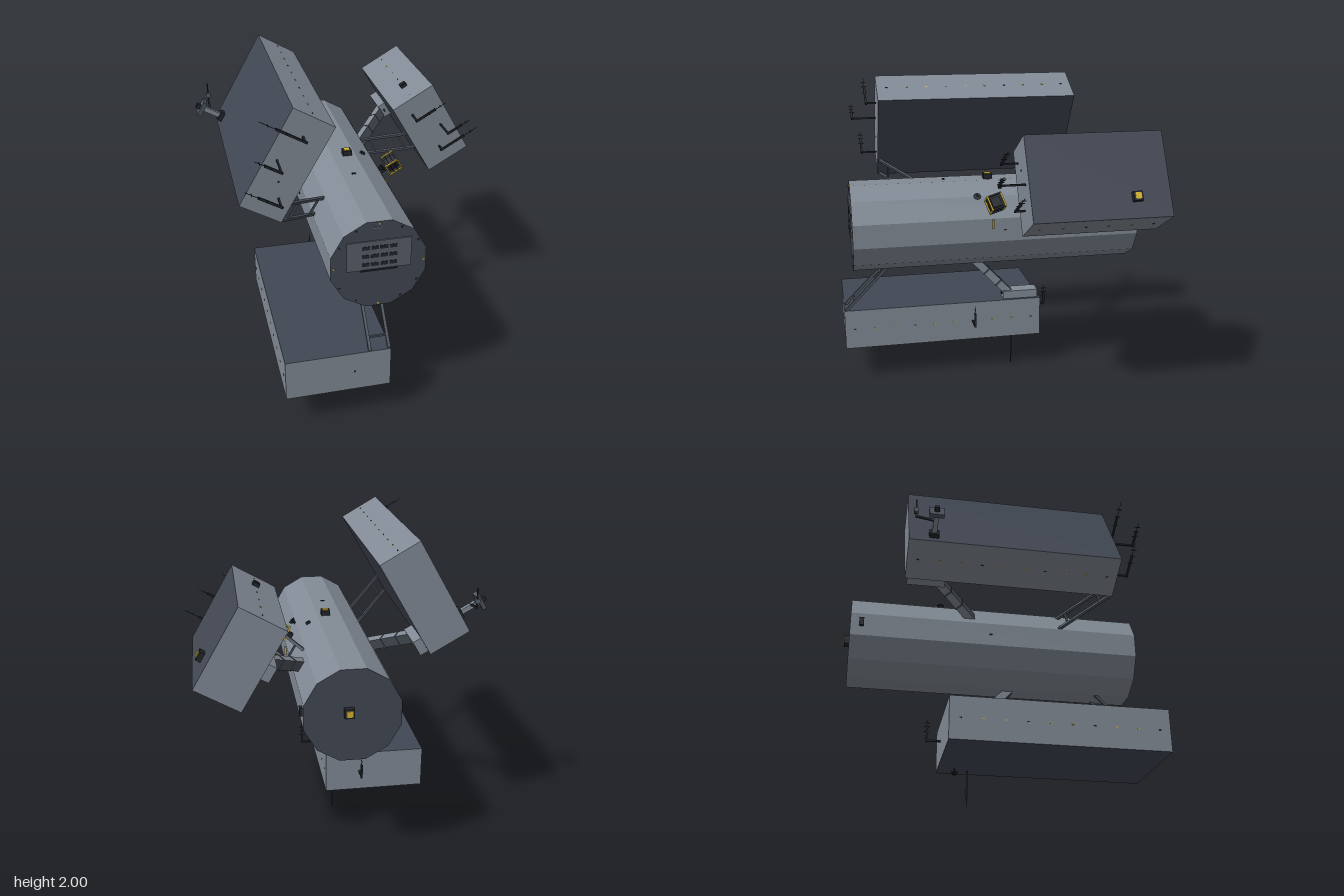
import * as THREE from 'three';

const CX = -0.025, CY = 1.075; // hull axis

const mat = (name, color) => {
  const m = new THREE.MeshStandardMaterial({ color, flatShading: true });
  m.name = name;
  return m;
};
const M = {
  light: mat('lightGrey', 0x828b96),
  dark: mat('darkSlate', 0x424854),
  mid: mat('strutGrey', 0x4d545e),
  black: mat('charcoal', 0x22262c),
  yellow: mat('yellow', 0xd6b432),
  panel: mat('panelGrey', 0x59606b),
};
const V = (x, y, z) => new THREE.Vector3(x, y, z);

function add(parent, name, geo, material, x = 0, y = 0, z = 0) {
  const m = new THREE.Mesh(geo, material);
  m.name = name;
  m.position.set(x, y, z);
  parent.add(m);
  return m;
}

const box = (parent, name, size, pos, material) =>
  add(parent, name, new THREE.BoxGeometry(...size), material, ...pos);

// Square bar running from a to b
function beam(parent, name, a, b, w, d, material) {
  const dir = b.clone().sub(a);
  const m = add(parent, name, new THREE.BoxGeometry(w, dir.length(), d), material);
  m.position.copy(a).lerp(b, 0.5);
  m.quaternion.setFromUnitVectors(V(0, 1, 0), dir.normalize());
  return m;
}

// Lattice mast on a boom: foot on the surface, elbow, then mast along dir
function antenna(parent, foot, elbow, dir, length) {
  const g = new THREE.Group();
  g.name = 'antenna';
  parent.add(g);
  const at = t => elbow.clone().addScaledVector(dir, t * length);
  const boom = elbow.clone().sub(foot).normalize();
  beam(g, 'boom', foot, elbow, 0.011, 0.011, M.black);
  beam(g, 'mast', at(-0.05), at(0.7), 0.013, 0.013, M.black);
  beam(g, 'whip', at(0.7), at(1.1), 0.003, 0.003, M.black);
  for (const t of [0.45, 0.7, 0.9])
    beam(g, 'crossElement', at(t).addScaledVector(boom, -0.018), at(t).addScaledVector(boom, 0.018), 0.004, 0.004, M.black);
}

// Framed hatch, built facing +y
function hatch(parent, pos, normal) {
  const g = new THREE.Group();
  g.name = 'hatch';
  g.position.copy(pos);
  g.quaternion.setFromUnitVectors(V(0, 1, 0), normal);
  parent.add(g);
  box(g, 'hatchBody', [0.058, 0.034, 0.058], [0, 0.01, 0], M.black);
  box(g, 'hatchPlate', [0.038, 0.006, 0.038], [0, 0.029, 0], M.yellow);
  return g;
}

// Cargo pod with its arm and struts; outward is -y, then turned about the hull axis
function pod(root, name, angle, [x0, x1], [r0, r1], [zb, zf]) {
  const g = new THREE.Group();
  g.name = name;
  g.position.set(CX, CY, 0);
  g.rotation.z = angle;
  root.add(g);
  const w = x1 - x0, h = r1 - r0, l = zf - zb, mx = (x0 + x1) / 2, mz = (zb + zf) / 2;
  add(g, 'podBody', new THREE.BoxGeometry(w, h, l),
    [M.light, M.light, M.dark, M.dark, M.light, M.light], mx, -(r0 + r1) / 2, mz);

  // Slanted main arm with dark front and back faces
  const root0 = V(0, -0.24, zb + 0.49), tip = V(0, -0.55, zb + 0.195);
  const arm = beam(g, 'mainArm', root0, tip, 0.07, 0.052, M.light);
  arm.material = [M.light, M.light, M.light, M.light, M.mid, M.mid];
  for (const t of [0.4, 0.68]) {
    const c = root0.clone().lerp(tip, t), e = root0.clone().lerp(tip, t + 0.025);
    beam(g, 'armBand', c, e, 0.076, 0.058, M.mid);
  }
  box(g, 'armFoot', [0.1, 0.06, 0.24], [0, -r0 + 0.025, zb + 0.135], M.light);
  box(g, 'footHatch', [0.024, 0.014, 0.004], [0, -r0 + 0.028, zb + 0.257], M.black);

  // Twin front struts with rungs
  const a = V(0, -0.25, zf - 0.325), b = V(0, -r0, zf - 0.012);
  for (const s of [-0.06, 0.06]) {
    const o = V(s, 0, 0);
    beam(g, 'strut', a.clone().add(o), b.clone().add(o), 0.018, 0.018, M.mid);
  }
  for (const t of [0.25, 0.82]) {
    const c = a.clone().lerp(b, t);
    box(g, 'rung', [0.13, 0.012, 0.012], [c.x, c.y, c.z], M.mid);
  }

  // Running lights along both narrow sides
  const n = Math.round(l / 0.134);
  for (let i = 0; i < n; i++)
    for (const x of [x0, x1])
      box(g, 'sideLight', [0.006, 0.006, 0.014], [x, -(r0 + r1) / 2, zb + (i + 0.5) * l / n], i % 3 ? M.yellow : M.black);
  box(g, 'frontPort', [0.01, 0.01, 0.005], [mx + 0.1, -(r0 + r1) / 2, zf], M.black);
  return g;
}

// Yellow-edged equipment cage on a stem, outward is +y
function cage(root) {
  const g = new THREE.Group();
  g.name = 'equipmentCage';
  g.position.set(CX + 0.247, CY + 0.143, 0.015);
  g.rotation.z = -Math.PI / 3;
  root.add(g);
  beam(g, 'cageStem', V(0, -0.02, 0), V(0, 0.05, 0), 0.035, 0.035, M.black);
  const c = new THREE.Group();
  c.name = 'cageFrame';
  c.position.y = 0.092;
  c.rotation.y = 0.3;
  g.add(c);
  box(c, 'cageCore', [0.06, 0.07, 0.06], [0, 0, 0], M.black);
  const s = 0.045;
  for (const p of [-s, s])
    for (const q of [-s, s]) {
      box(c, 'cageEdge', [0.1, 0.01, 0.01], [0, p, q], M.yellow);
      box(c, 'cageEdge', [0.01, 0.1, 0.01], [p, 0, q], M.yellow);
      box(c, 'cageEdge', [0.01, 0.01, 0.1], [p, q, 0], M.black);
    }
  for (const y of [-0.015, 0.015])
    box(c, 'cageBand', [0.094, 0.006, 0.094], [0, y, 0], M.black);
}

export function createModel() {
  const root = new THREE.Group();
  root.name = 'spaceStation';

  // Twelve-sided hull with dark ends
  const hull = add(root, 'hull', new THREE.CylinderGeometry(0.295, 0.295, 1.875, 12, 1, false, Math.PI / 12),
    [M.light, M.dark, M.dark], CX, CY, -0.0225);
  hull.rotation.x = Math.PI / 2;

  // Front window panel with a grid of slots
  box(root, 'frontPanel', [0.385, 0.19, 0.008], [CX, 1.143, 0.918], M.panel);
  box(root, 'panelSill', [0.22, 0.01, 0.016], [CX, 1.046, 0.92], M.black);
  for (let i = 0; i < 4; i++)
    for (let j = 0; j < 3; j++)
      box(root, 'windowSlot', [0.045, 0.022, 0.004], [CX - 0.08 + i * 0.055, 1.085 + j * 0.055, 0.923], M.black);
  box(root, 'topSlot', [0.05, 0.01, 0.004], [CX - 0.01, 1.32, 0.916], M.panel);
  for (let i = 0; i < 12; i++) {
    const a = i * Math.PI / 6;
    box(root, 'rimLight', [0.01, 0.01, 0.005], [CX + 0.27 * Math.cos(a), CY + 0.27 * Math.sin(a), 0.916], i % 3 ? M.black : M.yellow);
  }

  // Three pods around the hull
  const third = Math.PI * 2 / 3;
  pod(root, 'lowerPod', 0, [-0.58, 0.07], [0.57, 0.84], [-0.355, 0.985]);
  pod(root, 'upperRightPod', -third, [-0.58, 0.07], [0.565, 0.838], [-0.645, 0.695]);
  pod(root, 'upperLeftPod', third, [-0.27, 0.27], [0.573, 0.879], [-0.945, -0.09]);

  // Antennas on the pod front faces: x, y, elbow z, length
  const c30 = Math.cos(Math.PI / 6);
  for (const [x, y, z, len] of [[0.47, 1.55, 0.015, 0.2], [0.67, 1.465, 0.07, 0.15], [0.67, 1.305, -0.03, 0.25]])
    antenna(root, V(x, y, -0.09), V(x, y, z), V(c30, 0.5, 0), len);
  for (const [x, y, z, len] of [[-0.41, 1.82, 0.765, 0.26], [-0.56, 1.695, 0.858, 0.15], [-0.56, 1.455, 0.8, 0.21]])
    antenna(root, V(x, y, 0.695), V(x, y, z), V(-c30, 0.5, 0), len);

  // Lower pod antennas, whip and small dish
  antenna(root, V(0.045, 0.37, 0.12), V(0.15, 0.37, 0.12), V(0, 1, 0), 0.13);
  antenna(root, V(-0.18, 0.37, -0.355), V(-0.18, 0.37, -0.44), V(0, 1, 0), 0.13);
  beam(root, 'keelMast', V(CX, 0.235, -0.165), V(CX, 0.06, -0.165), 0.009, 0.009, M.black);
  beam(root, 'keelWhip', V(CX, 0.06, -0.165), V(CX, 0, -0.165), 0.004, 0.004, M.black);
  beam(root, 'dishStem', V(-0.06, 0.24, -0.25), V(-0.06, 0.2, -0.25), 0.01, 0.01, M.black);
  add(root, 'keelDish', new THREE.CylinderGeometry(0.024, 0.012, 0.016, 8), M.black, -0.06, 0.205, -0.25);

  // Sensor arm on the outer face of the upper right pod
  const sensor = new THREE.Group();
  sensor.name = 'sensorArm';
  sensor.position.set(CX - 0.838 * c30, CY + 0.419, -0.49);
  sensor.rotation.z = Math.PI / 3;
  root.add(sensor);
  box(sensor, 'sensorBase', [0.06, 0.03, 0.06], [0, 0.012, 0], M.black);
  beam(sensor, 'sensorBoom', V(0, 0, 0), V(0, 0.16, 0), 0.03, 0.03, M.light);
  box(sensor, 'sensorPlate', [0.095, 0.025, 0.09], [0, 0.155, 0], M.mid);
  box(sensor, 'sensorHead', [0.03, 0.03, 0.03], [0, 0.18, 0], M.black);
  beam(root, 'sensorBracket', V(-0.83, 1.55, -0.49), V(-0.83, 1.57, -0.61), 0.012, 0.012, M.black);
  beam(root, 'sensorWhip', V(-0.83, 1.56, -0.61), V(-0.83, 1.69, -0.61), 0.008, 0.008, M.black);
  box(root, 'sensorBox', [0.03, 0.03, 0.025], [-0.83, 1.61, -0.61], M.panel);

  // Hatches
  hatch(root, V(-0.003, 1.366, 0.01), V(0, 1, 0));
  hatch(root, V(0, 1.1, -0.968), V(0, 0, -1));
  hatch(root, V(0.81, 1.395, -0.73), V(c30, 0.5, 0));
  const turret = hatch(root, V(0.47, 1.675, -0.31), V(-0.5, c30, 0));
  turret.name = 'podTurret';
  turret.scale.setScalar(0.75);
  turret.children[1].material = M.black;

  // Hull fittings
  cage(root);
  beam(root, 'dishStem', V(0.17, 1.25, 0.11), V(0.21, 1.3, 0.11), 0.015, 0.015, M.black);
  const dish = add(root, 'hullDish', new THREE.CylinderGeometry(0.026, 0.012, 0.018, 8), M.black, 0.205, 1.285, 0.115);
  dish.rotation.z = -0.8;
  for (const s of [-1, 1]) {
    box(root, 'sideThruster', [0.024, 0.055, 0.03], [CX + s * 0.29, 1.09, -0.89], M.black);
    box(root, 'sideMarker', [0.008, 0.008, 0.02], [CX + s * 0.285, 1.075, -0.06], M.black);
  }
  box(root, 'sideStrip', [0.012, 0.06, 0.012], [0.266, 1.115, 0.02], M.yellow);
  const marker = box(root, 'shoulderMarker', [0.008, 0.022, 0.028], [0.238, 1.17, 0.43], M.yellow);
  marker.rotation.z = Math.PI / 6;
  box(root, 'topVent', [0.025, 0.008, 0.014], [CX, 1.361, 0.3], M.black);
  const vent = box(root, 'shoulderVent', [0.03, 0.022, 0.02], [0.118, 1.326, -0.05], M.black);
  vent.rotation.z = -Math.PI / 6;
  return root;
}
